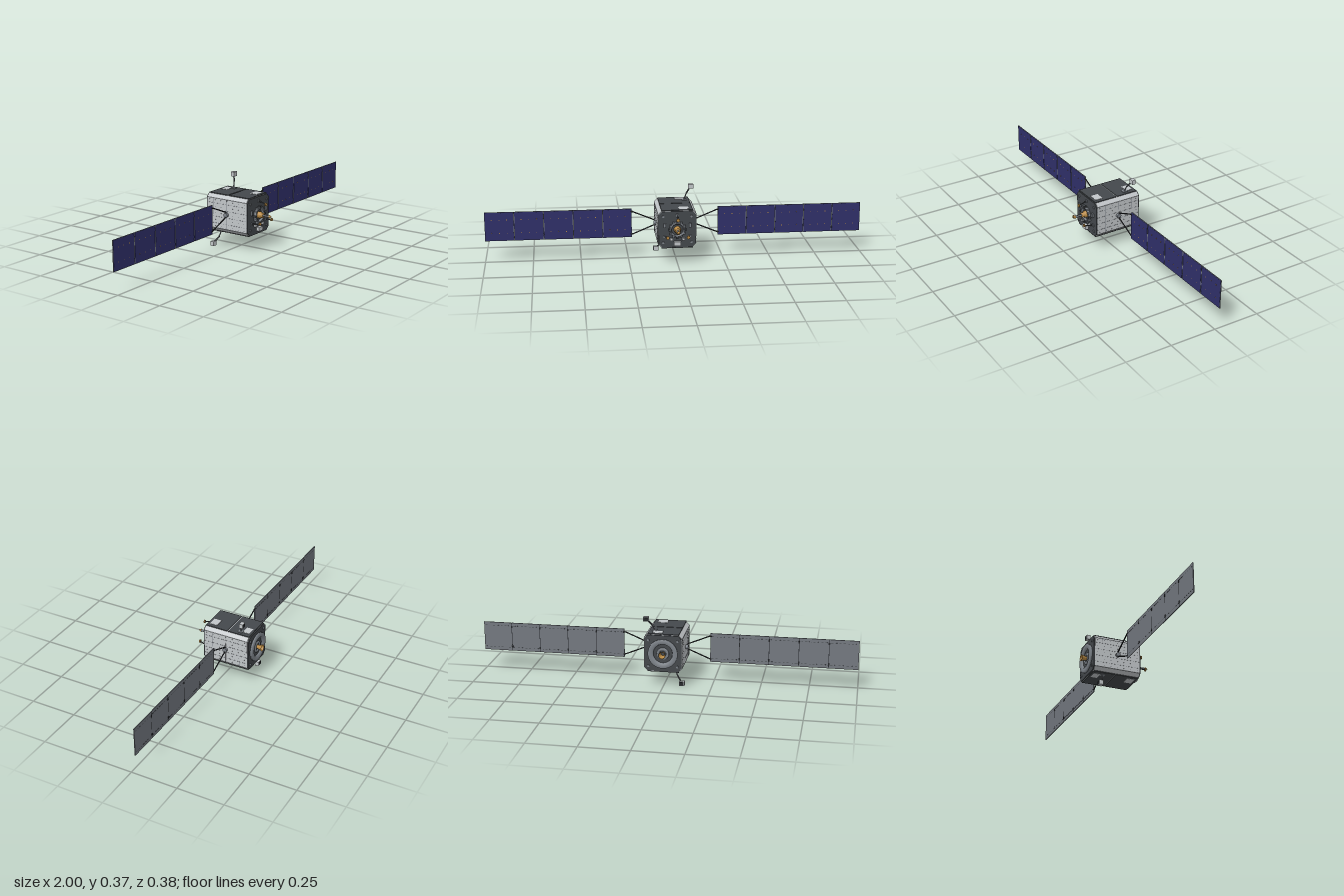
import * as THREE from 'three';

const mat = (name, color, side = THREE.FrontSide) => {
  const m = new THREE.MeshStandardMaterial({ color, side });
  m.name = name;
  return m;
};

export function createModel() {
  const silver = mat('silver', 0xc2c6c9);
  const dark = mat('dark grey', 0x44484c);
  const black = mat('black', 0x26282b);
  const steel = mat('steel grey', 0x7d838a, THREE.DoubleSide);
  const gold = mat('gold', 0xb88a45, THREE.DoubleSide);
  const navy = mat('navy cells', 0x30306a);
  const backing = mat('panel backing', 0x747980);
  const CY = 0.187, WZ = -0.025;

  const root = new THREE.Group();
  root.name = 'satellite';
  const group = (name, parent = root) => {
    const g = new THREE.Group();
    g.name = name;
    parent.add(g);
    return g;
  };
  const add = (parent, name, geo, m, x = 0, y = 0, z = 0) => {
    const mesh = new THREE.Mesh(geo, m);
    mesh.name = name;
    mesh.position.set(x, y, z);
    parent.add(mesh);
    return mesh;
  };
  const box = (p, name, m, w, h, d, x, y, z) => add(p, name, new THREE.BoxGeometry(w, h, d), m, x, y, z);
  const beam = (p, name, m, a, b, r) => {
    const A = new THREE.Vector3(...a), B = new THREE.Vector3(...b), dir = B.clone().sub(A);
    const mesh = add(p, name, new THREE.CylinderGeometry(r, r, dir.length(), 10), m);
    mesh.position.copy(A).add(B).multiplyScalar(0.5);
    mesh.quaternion.setFromUnitVectors(new THREE.Vector3(0, 1, 0), dir.normalize());
    return mesh;
  };
  // Turned part along z; points are [radius, z]
  const turned = (p, name, m, pts, seg = 36) => {
    const geo = new THREE.LatheGeometry(pts.map(([r, z]) => new THREE.Vector2(r, z)), seg);
    return add(p, name, geo.rotateX(Math.PI / 2), m);
  };
  // Chamfered square prism along z
  const prism = (p, name, m, h, c, z0, z1) => {
    const s = new THREE.Shape([[h, c], [c, h], [-c, h], [-h, c], [-h, -c], [-c, -h], [c, -h], [h, -c]]
      .map(([x, y]) => new THREE.Vector2(x, y)));
    return add(p, name, new THREE.ExtrudeGeometry(s, { depth: z1 - z0, bevelEnabled: false }), m, 0, 0, z0);
  };

  // Body, modelled about its own axis
  const body = group('body');
  body.position.y = CY;
  prism(body, 'bodyShell', silver, 0.1, 0.081, -0.15, 0.1);
  prism(body, 'frontPlate', dark, 0.097, 0.079, 0.1, 0.106);
  prism(body, 'rearPlate', dark, 0.097, 0.079, -0.156, -0.15);

  // Dark top and bottom covers, with pale radiators; the bottom is the top turned about z
  for (const turn of [0, Math.PI]) {
    const deck = group(turn ? 'bottomDeck' : 'topDeck', body);
    deck.rotation.z = turn;
    box(deck, 'frontCover', dark, 0.164, 0.004, 0.126, 0, 0.101, 0.039);
    box(deck, 'rearCover', dark, 0.164, 0.004, 0.12, 0, 0.101, -0.09);
    box(deck, 'frontRadiator', silver, 0.052, 0.002, 0.042, 0.036, 0.1035, 0.067);
    box(deck, 'rearRadiator', silver, 0.05, 0.002, 0.036, 0.032, 0.1035, -0.12);
    // Jointed boom with a sensor box
    const boom = group('sensorBoom', deck);
    box(boom, 'boomFoot', steel, 0.024, 0.004, 0.025, 0.055, 0.104, -0.091);
    beam(boom, 'lowerBoom', steel, [0.055, 0.104, -0.092], [0.068, 0.137, -0.099], 0.003);
    beam(boom, 'upperBoom', dark, [0.068, 0.136, -0.098], [0.088, 0.164, -0.114], 0.004);
    box(boom, 'sensorBox', silver, 0.028, 0.024, 0.02, 0.094, 0.171, -0.117);
    box(boom, 'sensorBack', black, 0.022, 0.018, 0.002, 0.094, 0.171, -0.128);
  }

  // Side panel seams, rivets and wing hubs
  for (const s of [-1, 1]) {
    const side = group(s > 0 ? 'leftSide' : 'rightSide', body);
    for (const y of [-0.08, -0.054, -0.018, 0.018, 0.054, 0.08])
      box(side, 'seam', steel, 0.001, 0.001, 0.25, s * 0.1003, y, -0.025);
    for (const z of [0.051, WZ, -0.109])
      box(side, 'crossSeam', steel, 0.001, 0.16, 0.001, s * 0.1003, 0, z);
    for (const y of [-0.07, -0.036, 0, 0.036, 0.07])
      for (let i = 0; i < 7; i++)
        box(side, 'rivet', dark, 0.001, 0.002, 0.004, s * 0.1003, y, 0.086 - i * 0.037);
    add(side, 'wingHub', new THREE.CylinderGeometry(0.012, 0.012, 0.013, 24).rotateZ(Math.PI / 2), steel, s * 0.1065, 0, WZ);
  }

  // Solar wings with five panels each
  const W = 0.1545, H = 0.156, X0 = 0.2275;
  for (const s of [-1, 1]) {
    const wing = group(s > 0 ? 'leftWing' : 'rightWing');
    wing.position.set(0, 0.19, WZ);
    for (const t of [-1, 1]) {
      beam(wing, 'yoke', black, [s * 0.108, t * 0.013, 0], [s * 0.23, t * 0.064, 0], 0.0032);
      beam(wing, 'yokeTip', black, [s * 0.225, t * 0.062, 0], [s * 0.236, t * 0.062, 0], 0.004);
    }
    for (let i = 0; i < 5; i++) {
      const x = s * (X0 + W * (i + 0.5)), panel = group('solarPanel', wing);
      panel.position.x = x;
      box(panel, 'panelBack', backing, W - 0.003, H, 0.004, 0, 0, 0);
      box(panel, 'cells', navy, W - 0.006, H - 0.004, 0.001, 0, 0, 0.0022);
      for (const t of [-1, 1]) {
        for (const u of [-0.04, 0, 0.04]) box(panel, 'stud', gold, 0.004, 0.004, 0.001, u, t * 0.036, 0.0028);
        for (let k = 0; k < 7; k++)
          box(panel, 'backDash', dark, 0.011, 0.002, 0.001, (k - 3) * 0.021, t * 0.06, -0.0022);
        if (i) box(panel, 'hinge', black, 0.008, 0.012, 0.006, -s * W / 2, t * 0.055, -0.001);
      }
      if (i) box(panel, 'hingeLine', black, 0.003, H, 0.002, -s * W / 2, 0, -0.001);
    }
  }

  // Docking probe and its ring
  const dock = group('dockingProbe', body);
  turned(dock, 'dockingRing', steel, [[0.04, 0.105], [0.04, 0.118], [0.031, 0.118], [0.031, 0.105]]);
  turned(dock, 'dockingWell', dark, [[0.031, 0.107], [0.02, 0.112], [0, 0.112]].reverse());
  turned(dock, 'probeBase', gold, [[0.018, 0.107], [0.018, 0.122], [0.011, 0.124], [0.014, 0.137], [0, 0.137]]);
  beam(dock, 'probeShaft', steel, [0, 0, 0.135], [0, 0, 0.177], 0.0055);
  turned(dock, 'probeTip', gold, [[0, 0.175], [0.009, 0.176], [0, 0.191]]);
  for (let i = 0; i < 12; i++) {
    const a = i * Math.PI / 6;
    box(dock, 'ringLatch', i % 3 ? steel : dark, 0.009, 0.009, 0.018, 0.042 * Math.cos(a), 0.042 * Math.sin(a), 0.113);
  }
  // Three padded arms around the probe
  for (let i = 0; i < 3; i++) {
    const a = Math.PI / 2 + i * Math.PI * 2 / 3, c = Math.cos(a), n = Math.sin(a);
    const arm = group('captureArm', dock);
    beam(arm, 'armRod', dark, [c * 0.076, n * 0.076, 0.104], [c * 0.063, n * 0.063, 0.153], 0.003);
    beam(arm, 'armPad', gold, [c * 0.062, n * 0.062, 0.151], [c * 0.062, n * 0.062, 0.157], 0.009);
    box(arm, 'armFoot', steel, 0.013, 0.013, 0.006, c * 0.076, n * 0.076, 0.108);
  }

  // Front instruments
  const front = group('frontInstruments', body);
  box(front, 'cameraBox', silver, 0.036, 0.021, 0.018, 0, -0.074, 0.115);
  for (const s of [-1, 1]) {
    box(front, 'sensorBlock', silver, 0.014, 0.012, 0.012, s * 0.032, -0.052, 0.112);
    box(front, 'sideUnit', steel, 0.012, 0.022, 0.01, s * 0.066, 0.022, 0.11);
    for (const t of [-1, 1]) {
      const c = [s * 0.074, t * 0.07];
      beam(front, 'cornerThruster', steel, [...c, 0.105], [...c, 0.111], 0.006);
    }
  }

  // Rear ring and main engine
  const rear = group('rearEngine', body);
  turned(rear, 'launchRing', steel, [[0.076, -0.155], [0.078, -0.16], [0.078, -0.168], [0.054, -0.168], [0.05, -0.157]], 48);
  turned(rear, 'rearWell', dark, [[0.052, -0.158], [0, -0.158]], 48);
  turned(rear, 'engineCollar', steel, [[0.032, -0.158], [0.03, -0.163], [0.02, -0.163], [0.018, -0.158]]);
  turned(rear, 'engineNozzle', gold, [[0.01, -0.157], [0.011, -0.168], [0.015, -0.18], [0.018, -0.19]]);
  turned(rear, 'nozzleThroat', black, [[0.011, -0.17], [0, -0.17]]);
  for (const s of [-1, 1]) for (const t of [-1, 1])
    beam(rear, 'rearThruster', steel, [s * 0.076, t * 0.07, -0.155], [s * 0.076, t * 0.07, -0.162], 0.006);

  return root;
}
